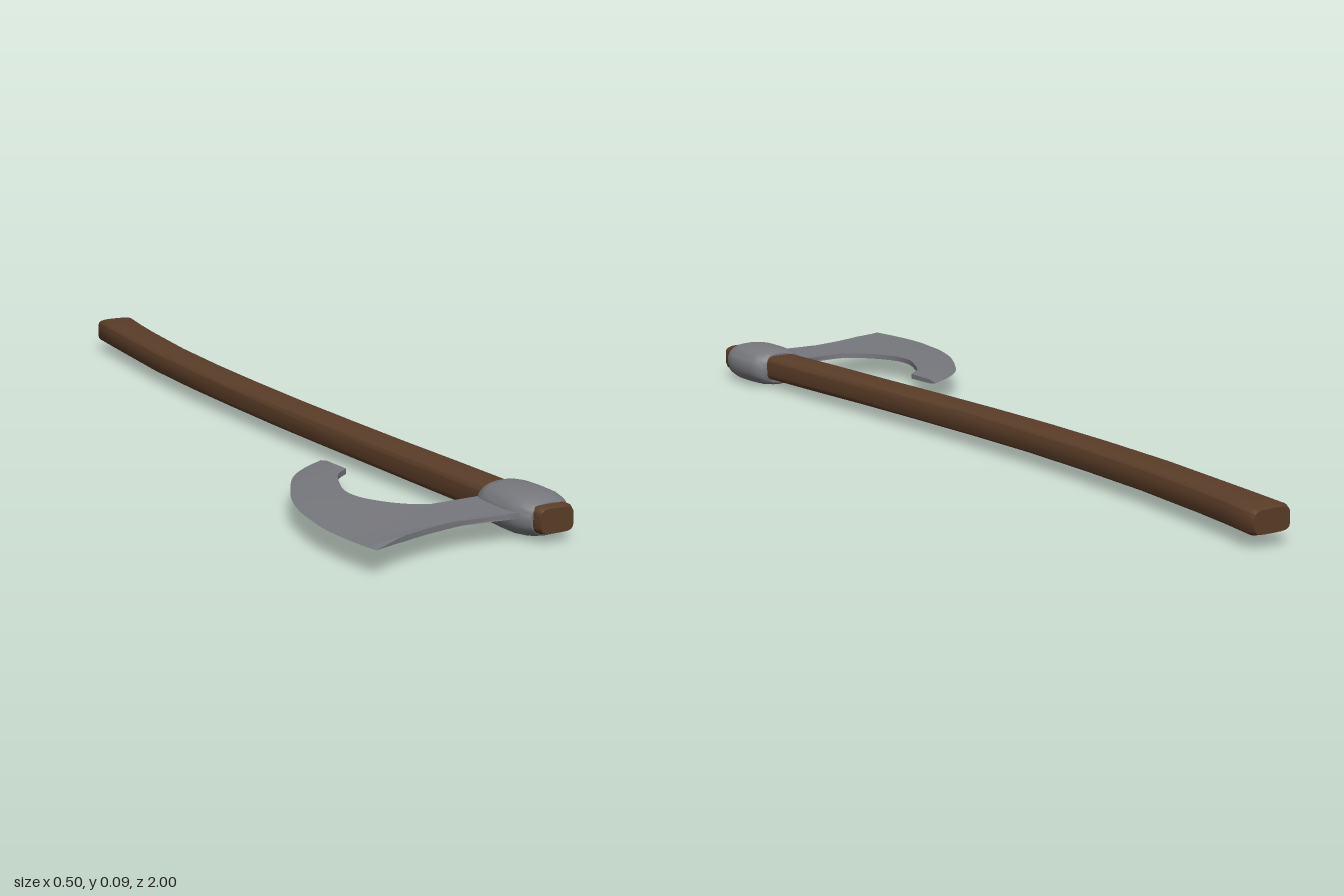
import * as THREE from 'three';
import { toCreasedNormals } from 'three/addons/utils/BufferGeometryUtils.js';

// Skin a series of equal-sized rings, capping both ends
function loft(rings, crease) {
  const n = rings[0].length, pos = [], idx = [];
  rings.forEach(r => r.forEach(p => pos.push(p.x, p.y, p.z)));
  for (let i = 0; i < rings.length - 1; i++) {
    for (let j = 0; j < n; j++) {
      const k = (j + 1) % n;
      const a = i * n + j, b = i * n + k, c = b + n, d = a + n;
      idx.push(a, b, c, a, c, d);
    }
  }
  [0, rings.length - 1].forEach((row, end) => {
    const mid = new THREE.Vector3();
    rings[row].forEach(p => mid.addScaledVector(p, 1 / n));
    const m = pos.length / 3;
    pos.push(mid.x, mid.y, mid.z);
    for (let j = 0; j < n; j++) {
      const a = row * n + j, b = row * n + (j + 1) % n;
      if (end) idx.push(m, a, b); else idx.push(m, b, a);
    }
  });
  const g = new THREE.BufferGeometry();
  g.setAttribute('position', new THREE.Float32BufferAttribute(pos, 3));
  g.setIndex(idx);
  return toCreasedNormals(g, crease);
}

// Rounded ring facing +z; power 1 is an ellipse, smaller is boxier
function ring(cx, cy, z, rx, ry, power, n = 32) {
  return Array.from({ length: n }, (_, i) => {
    const a = i / n * Math.PI * 2, c = Math.cos(a), s = Math.sin(a);
    return new THREE.Vector3(
      cx + rx * Math.sign(c) * Math.abs(c) ** power,
      cy + ry * Math.sign(s) * Math.abs(s) ** power, z);
  });
}

export function createModel() {
  const wood = new THREE.MeshStandardMaterial({ color: 0x5a3d28 });
  wood.name = 'brown wood';
  const steel = new THREE.MeshStandardMaterial({ color: 0x77787d });
  steel.name = 'grey steel';
  const model = new THREE.Group();
  model.name = 'axe';
  const add = (name, geometry, material) => {
    const mesh = new THREE.Mesh(geometry, material);
    mesh.name = name;
    model.add(mesh);
  };

  // Curved haft: z, centre x, half width, centre y, half height
  const haft = [
    [-1, 0.201, 0.042, 0.05, 0.023], [-0.985, 0.2, 0.048, 0.05, 0.027],
    [-0.9, 0.188, 0.045, 0.05, 0.027], [-0.8, 0.176, 0.043, 0.05, 0.027],
    [-0.6, 0.155, 0.042, 0.05, 0.027], [-0.4, 0.144, 0.041, 0.05, 0.027],
    [-0.2, 0.139, 0.04, 0.05, 0.027], [0, 0.139, 0.04, 0.049, 0.027],
    [0.2, 0.143, 0.04, 0.048, 0.027], [0.4, 0.149, 0.04, 0.047, 0.027],
    [0.6, 0.156, 0.04, 0.046, 0.028], [0.8, 0.163, 0.04, 0.045, 0.028],
    [0.955, 0.17, 0.04, 0.044, 0.028], [0.966, 0.17, 0.036, 0.044, 0.024]];
  add('haft', loft(haft.map(([z, x, w, y, h]) => ring(x, y, z, w, h, 0.45)), 0.7), wood);

  // Bulging eye of the head, wrapped around the haft: z, half width, half height
  const eye = [
    [0.78, 0.05, 0.034], [0.788, 0.06, 0.039], [0.81, 0.065, 0.042],
    [0.85, 0.067, 0.043], [0.89, 0.066, 0.043], [0.915, 0.061, 0.04],
    [0.935, 0.051, 0.035], [0.946, 0.043, 0.031]];
  add('eye', loft(eye.map(([z, w, h]) => ring(0.167, 0.043, z, w, h, 0.85)), 0.9), steel);

  // Bearded blade: matching points on the back outline and the cutting edge (x, z)
  const back = [
    [-0.005, 0.49], [-0.04, 0.52], [-0.07, 0.575], [-0.093, 0.64], [-0.087, 0.7],
    [-0.034, 0.775], [0.04, 0.802], [0.13, 0.79], [0.13, 0.92], [0.04, 0.912],
    [-0.05, 0.925], [-0.156, 0.957], [-0.235, 0.996]];
  const edge = [
    [-0.005, 0.39], [-0.06, 0.425], [-0.115, 0.475], [-0.17, 0.56], [-0.21, 0.64],
    [-0.235, 0.72], [-0.245, 0.78], [-0.251, 0.82], [-0.252, 0.89], [-0.249, 0.93],
    [-0.246, 0.96], [-0.243, 0.98], [-0.24, 1]];
  const curve = pts => new THREE.CatmullRomCurve3(pts.map(([x, z]) => new THREE.Vector3(x, 0.05, z)));
  const backCurve = curve(back), edgeCurve = curve(edge);
  const steps = 72;
  const sections = Array.from({ length: steps + 1 }, (_, i) => {
    const b = backCurve.getPoint(i / steps), e = edgeCurve.getPoint(i / steps);
    const half = 0.0055 * Math.min(1, b.distanceTo(e) / 0.09);
    const at = (t, dy) => b.clone().lerp(e, t).add(new THREE.Vector3(0, dy, 0));
    return [at(0, half), at(0.75, half * 0.8), at(1, 0), at(0.75, -half * 0.8), at(0, -half)];
  });
  add('blade', loft(sections, 0.6), steel);

  return model;
}
